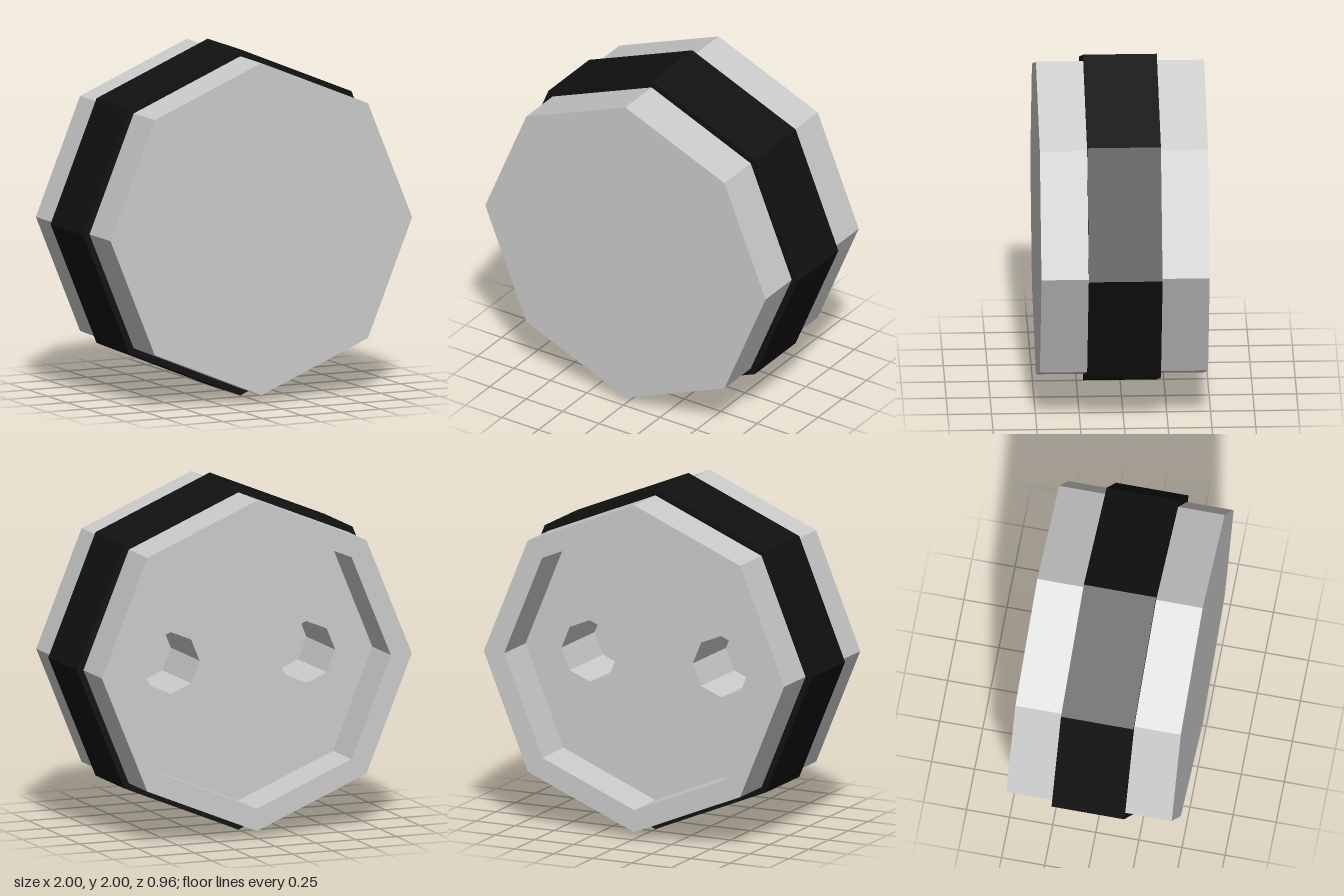
import * as THREE from 'three';

const SIDES = 8;
const BODY_R = 0.96, BAND_R = 1, RECESS_R = 0.83, HOLE_R = 0.18, HOLE_X = 0.42;
const HALF_DEPTH = 0.48, HALF_BAND = 0.21;

// Corner points of an octagon with its corners on the axes
function octagon(radius, cx = 0) {
  return Array.from({ length: SIDES }, (_, i) => {
    const a = (i / SIDES) * Math.PI * 2;
    return new THREE.Vector2(cx + radius * Math.cos(a), radius * Math.sin(a));
  });
}

// Octagonal plate from z0 to z1 with optional holes cut through it
function plate(name, material, radius, z0, z1, holes = []) {
  const shape = new THREE.Shape(octagon(radius));
  shape.holes = holes.map((points) => new THREE.Path(points));
  const geometry = new THREE.ExtrudeGeometry(shape, { depth: z1 - z0, bevelEnabled: false });
  geometry.translate(0, 1, z0);
  const mesh = new THREE.Mesh(geometry, material);
  mesh.name = name;
  return mesh;
}

export function createModel() {
  const grey = new THREE.MeshStandardMaterial({ color: 0xcccccc, flatShading: true });
  const black = new THREE.MeshStandardMaterial({ color: 0x111111, flatShading: true });

  const model = new THREE.Group();
  model.name = 'octagonalDrum';

  // Body: solid front, middle with two blind sockets, open rim at the back
  const body = new THREE.Group();
  body.name = 'body';
  body.add(
    plate('frontPlate', grey, BODY_R, HALF_BAND, HALF_DEPTH),
    plate('socketCore', grey, BODY_R, -HALF_BAND, HALF_BAND,
      [-1, 1].map((side) => octagon(HOLE_R, side * HOLE_X))),
    plate('backRim', grey, BODY_R, -HALF_DEPTH, -HALF_BAND, [octagon(RECESS_R)])
  );

  // Dark band wrapped around the middle
  const band = plate('band', black, BAND_R, -HALF_BAND, HALF_BAND, [octagon(BODY_R)]);

  model.add(body, band);
  return model;
}
